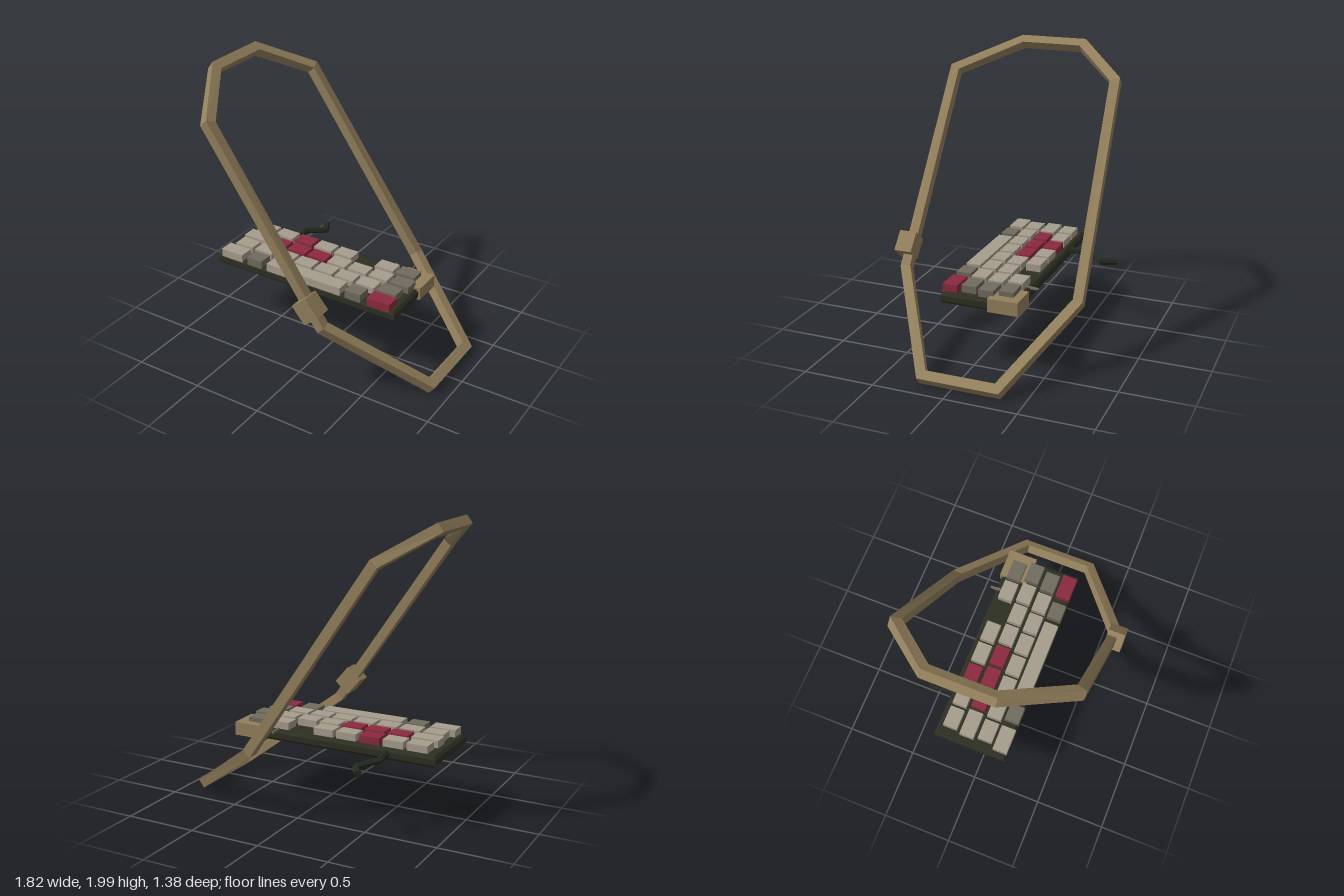
import * as THREE from 'three';

const mat = (name, color) => {
  const m = new THREE.MeshStandardMaterial({ color });
  m.name = name;
  return m;
};

// Give every face its own normal
function faceted(geo) {
  const g = geo.index ? geo.toNonIndexed() : geo;
  g.computeVertexNormals();
  return g;
}

// Closed square bar with mitred corners; ups holds the bar's upward side at each corner
function loopBar(points, ups, half) {
  const pos = [], idx = [], n = points.length;
  points.forEach((p, i) => {
    const tIn = p.clone().sub(points[(i + n - 1) % n]).normalize();
    const tOut = points[(i + 1) % n].clone().sub(p).normalize();
    const t = tIn.clone().add(tOut).normalize();
    const up = ups[i].clone().addScaledVector(t, -ups[i].dot(t)).normalize();
    const side = new THREE.Vector3().crossVectors(t, up);
    const mitre = half / t.dot(tIn);
    for (const [a, b] of [[1, -1], [1, 1], [-1, 1], [-1, -1]]) {
      const v = p.clone().addScaledVector(up, a * half).addScaledVector(side, b * mitre);
      pos.push(v.x, v.y, v.z);
    }
    for (let k = 0; k < 4; k++) {
      const a = i * 4 + k, b = i * 4 + (k + 1) % 4;
      const j = ((i + 1) % n) * 4;
      const c = j + (k + 1) % 4, d = j + k;
      idx.push(a, b, c, a, c, d);
    }
  });
  const g = new THREE.BufferGeometry();
  g.setAttribute('position', new THREE.Float32BufferAttribute(pos, 3));
  g.setIndex(idx);
  return faceted(g);
}

export function createModel() {
  const model = new THREE.Group();
  model.name = 'keyboardWithStrap';
  const tan = mat('strapTan', 0x94805c);
  const dark = mat('caseDark', 0x2d2f22);
  const cableMat = mat('cableBlack', 0x232a20);
  const light = mat('keyLight', 0xa69d8c);
  const grey = mat('keyGrey', 0x706b5e);
  const red = mat('keyRed', 0x8c2a3f);
  const add = (name, geo, material, parent = model) => {
    const m = new THREE.Mesh(geo, material);
    m.name = name;
    parent.add(m);
    return m;
  };
  const V = (x, y, z) => new THREE.Vector3(x, y, z);

  // Bevelled keyboard case
  const x0 = -0.887, x1 = 0.552, z0 = -0.307, z1 = 0.192;
  const outline = new THREE.Shape();
  outline.moveTo(x0, -z1).lineTo(x1, -z1).lineTo(x1, -z0).lineTo(x0, -z0).closePath();
  const caseGeo = new THREE.ExtrudeGeometry(outline, {
    depth: 0.039, bevelEnabled: true, bevelThickness: 0.018, bevelSize: 0.018, bevelSegments: 1,
  });
  caseGeo.rotateX(-Math.PI / 2).translate(0, 0.468, 0);
  add('case', caseGeo, dark);

  // Keys: each row is [centre z, list of [left x, right x, material]]
  const run = (start, mats) => mats.map((m, i) => m && [start + i * 0.1705, start + i * 0.1705 + 0.146, m]);
  const rows = [
    [-0.231, run(-0.832, [light, light, red, light, light, null, light, grey])],
    [-0.1, [[-0.85, -0.66, light], ...run(-0.635, [red, red, red, light, light, light, grey])]],
    [0.031, run(-0.832, [light, light, light, light, light, light, light, grey])],
    [0.156, [[-0.865, -0.685, light], [-0.64, -0.515, grey], [-0.47, 0.14, light],
      [0.18, 0.305, grey], [0.355, 0.53, red]]],
  ];
  const keys = new THREE.Group();
  keys.name = 'keys';
  model.add(keys);
  rows.forEach(([z, list]) => list.filter(Boolean).forEach(([a, b, m]) => {
    add('key', new THREE.BoxGeometry(b - a, 0.06, 0.104), m, keys).position.set((a + b) / 2, 0.545, z);
  }));

  // Strap loop, bent where it meets the case and near the top
  const pts = [
    V(-0.865, 1.95, 0.17), V(-0.865, 1.95, -0.285), V(-0.6, 1.765, -0.605), V(0.27, 0.47, -0.65),
    V(0.86, 0.052, -0.315), V(0.86, 0.052, 0.21), V(0.26, 0.53, 0.605), V(-0.6, 1.765, 0.595),
  ];
  const endUp = V(0.6, 0.8, 0), topUp = V(0.72, 0.69, 0), midUp = V(0.71, 0.7, 0);
  add('strap', loopBar(pts, [endUp, endUp, topUp, midUp, endUp, endUp, midUp, topUp], 0.034), tan);

  // Strap buckle and the corner clamp
  const buckle = add('buckle', new THREE.BoxGeometry(0.15, 0.135, 0.125), tan);
  buckle.position.set(0.18, 0.667, 0.627);
  buckle.rotation.z = -0.87;
  add('cornerClamp', new THREE.BoxGeometry(0.21, 0.093, 0.21), tan).position.set(0.478, 0.496, -0.235);

  // Bent cable stub behind the case
  const path = [V(-0.56, 0.495, -0.3), V(-0.582, 0.495, -0.46), V(-0.475, 0.475, -0.58), V(-0.53, 0.465, -0.67)];
  const cable = new THREE.Group();
  cable.name = 'cable';
  model.add(cable);
  for (let i = 0; i < path.length - 1; i++) {
    const d = path[i + 1].clone().sub(path[i]);
    const geo = faceted(new THREE.CylinderGeometry(0.023, 0.023, d.length() + 0.016, 6));
    const seg = add('cableSegment', geo, cableMat, cable);
    seg.position.copy(path[i]).addScaledVector(d, 0.5);
    seg.quaternion.setFromUnitVectors(V(0, 1, 0), d.normalize());
  }

  // Small lever at the back edge
  const lever = add('lever', faceted(new THREE.CylinderGeometry(0.015, 0.009, 0.085, 5)), grey);
  lever.position.set(0.267, 0.52, -0.327);
  lever.rotation.x = Math.PI / 2;
  return model;
}
